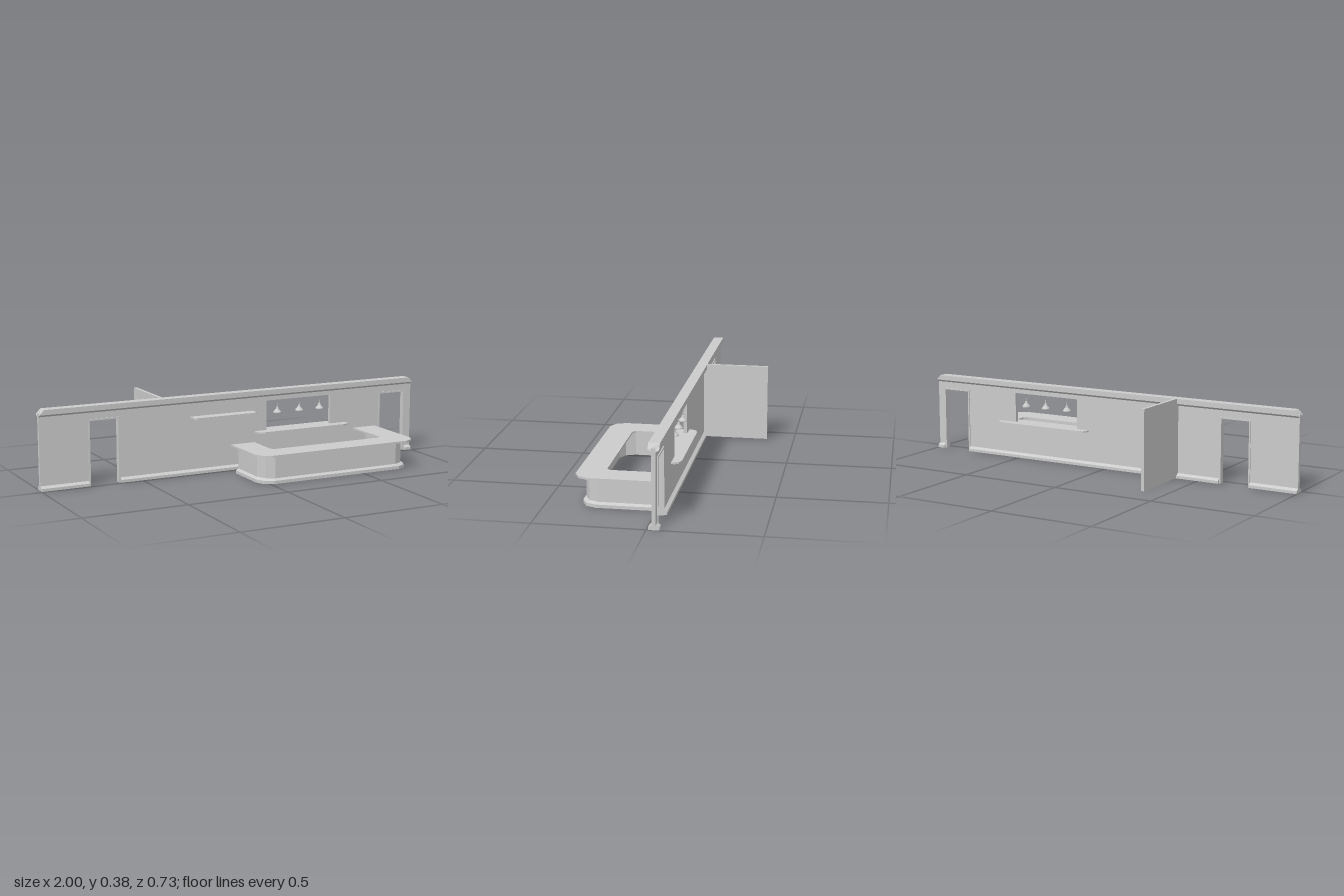
import * as THREE from 'three';

const material = new THREE.MeshStandardMaterial({ color: 0xcccccc, flatShading: true, side: THREE.DoubleSide });
const WALL_Z = -0.033;
const DOORS = [[-0.755, -0.615], [0.815, 0.955]];
const DOOR_TOP = 0.305;
const TRIM = 0.008;

const toShape = (pts) => new THREE.Shape(pts.map(([x, y]) => new THREE.Vector2(x, y)));
const extrude = (shape, depth) => new THREE.ExtrudeGeometry(shape, { depth, bevelEnabled: false });

function add(parent, name, geometry) {
  const mesh = new THREE.Mesh(geometry, material);
  mesh.name = name;
  parent.add(mesh);
  return mesh;
}

// Flat board from an outline in (x, z), lying between y0 and y1
function board(pts, y0, y1) {
  const g = extrude(toShape(pts.map(([x, z]) => [x, -z])), y1 - y0);
  return g.rotateX(-Math.PI / 2).translate(0, y0, 0);
}

// Moulding symmetric about the wall: half profile [halfDepth, y], run from x0 to x1
function moulding(half, x0, x1) {
  const pts = [...half, ...half.slice().reverse().map(([d, y]) => [-d, y])];
  return extrude(toShape(pts), x1 - x0).rotateY(Math.PI / 2).translate(x0, 0, WALL_Z);
}

// Sweep a closed counterclockwise profile [offset, y] along a path that can be offset outwards
function sweep(profile, path) {
  const rings = profile.map(([d, y]) => path(d).map(([x, z]) => [x, y, z]));
  const n = profile.length;
  const count = rings[0].length;
  const pos = [];
  const tri = (...corners) => corners.forEach((c) => pos.push(...c));
  for (let i = 0; i < count - 1; i++) {
    for (let j = 0; j < n; j++) {
      const a = rings[j], b = rings[(j + 1) % n];
      tri(a[i], b[i], b[i + 1]);
      tri(a[i], b[i + 1], a[i + 1]);
    }
  }
  const flat = profile.map(([d, y]) => new THREE.Vector2(d, y));
  for (const [a, b, c] of THREE.ShapeUtils.triangulateShape(flat, [])) {
    tri(rings[a][0], rings[c][0], rings[b][0]);
    tri(rings[a][count - 1], rings[b][count - 1], rings[c][count - 1]);
  }
  const g = new THREE.BufferGeometry();
  g.setAttribute('position', new THREE.Float32BufferAttribute(pos, 3));
  g.computeVertexNormals();
  return g;
}

function buildWall() {
  const wall = new THREE.Group();
  wall.name = 'wall';

  // Panel with two doorways cut from the floor and a serving window
  const outline = [[-1, 0]];
  for (const [a, b] of DOORS) {
    outline.push([a, 0], [a, DOOR_TOP], [b, DOOR_TOP], [b, 0]);
  }
  outline.push([1, 0], [1, 0.36], [-1, 0.36]);
  const panel = toShape(outline);
  panel.holes.push(toShape([[0.165, 0.172], [0.165, 0.323], [0.525, 0.323], [0.525, 0.172]]));
  add(wall, 'wallPanel', extrude(panel, 0.018).translate(0, 0, WALL_Z - 0.009));

  // Door frames
  for (const [a, b] of DOORS) {
    const frame = toShape([
      [a - TRIM, 0], [a, 0], [a, DOOR_TOP], [b, DOOR_TOP], [b, 0],
      [b + TRIM, 0], [b + TRIM, DOOR_TOP + TRIM], [a - TRIM, DOOR_TOP + TRIM],
    ]);
    add(wall, 'doorFrame', extrude(frame, 0.027).translate(0, 0, WALL_Z - 0.0135));
  }

  // Skirting between the doors
  const skirting = [[0.024, 0], [0.024, 0.013], [0.009, 0.023]];
  const stops = [-1, ...DOORS.flatMap(([a, b]) => [a - TRIM, b + TRIM]), 1];
  for (let i = 0; i < stops.length; i += 2) {
    add(wall, 'skirting', moulding(skirting, stops[i], stops[i + 1]));
  }

  // Cornice with its upper ends sloped inwards
  const cornice = moulding([[0.008, 0.343], [0.025, 0.354], [0.025, 0.378]], -1, 1);
  const p = cornice.attributes.position;
  for (let i = 0; i < p.count; i++) {
    if (p.getY(i) > 0.37) p.setX(i, p.getX(i) * 0.978);
  }
  cornice.computeVertexNormals();
  add(wall, 'cornice', cornice);

  // Partition standing behind the wall
  add(wall, 'partition', new THREE.BoxGeometry(0.016, 0.376, 0.327).translate(-0.382, 0.19, -0.2015));
  return wall;
}

function buildCounter() {
  const counter = new THREE.Group();
  counter.name = 'counter';

  // Outer U outline, from the wall round the front to the free end
  const uPath = (left, right, front, backR, backL) => (d) => {
    const l = left - d, r = right + d, f = front + d;
    return [
      [r, backR], [r, f - 0.068], [r - 0.02, f - 0.022], [r - 0.062, f],
      [l + 0.062, f], [l + 0.02, f - 0.022], [l, f - 0.068], [l, backL],
    ];
  };

  // Worktop
  const top = [
    ...uPath(-0.07, 0.787, 0.365, -0.022, 0.06)(0),
    [0.055, 0.06], [0.055, 0.225], [0.07, 0.24], [0.645, 0.24], [0.66, 0.225], [0.66, -0.022],
  ];
  add(counter, 'worktop', board(top, 0.134, 0.143));

  // Hollow front panel with a stepped plinth
  const profile = [
    [-0.016, 0], [0.013, 0], [0.013, 0.015], [0, 0.024], [0, 0.134], [-0.016, 0.134],
  ];
  add(counter, 'counterFront', sweep(profile, uPath(-0.033, 0.753, 0.325, -0.024, 0.065)));
  return counter;
}

function buildLamps() {
  const lamps = new THREE.Group();
  lamps.name = 'hangingLamps';
  const profile = [
    [0, 0.257], [0.02, 0.257], [0.02, 0.261], [0.008, 0.275], [0.005, 0.284],
    [0.002, 0.286], [0.002, 0.302], [0, 0.302],
  ].map(([r, y]) => new THREE.Vector2(r, y));
  for (const x of [0.23, 0.353, 0.468]) {
    add(lamps, 'lamp', new THREE.LatheGeometry(profile, 12)).position.set(x, 0, WALL_Z);
  }
  return lamps;
}

export function createModel() {
  const model = new THREE.Group();
  model.name = 'barFront';
  model.add(buildWall(), buildCounter(), buildLamps());

  // Shelf on the wall
  add(model, 'wallShelf', board([
    [-0.245, -0.024], [-0.245, 0.021], [-0.236, 0.03], [0.079, 0.03], [0.088, 0.021], [0.088, -0.024],
  ], 0.273, 0.28));

  // Serving sill through the window, with cut corners
  const quarter = [[0.257, 0.026], [0.247, 0.045], [0.222, 0.0545]];
  const back = quarter.slice().reverse();
  const sill = [
    ...quarter, ...back.map(([x, z]) => [-x, z]),
    ...quarter.map(([x, z]) => [-x, -z]), ...back.map(([x, z]) => [x, -z]),
  ].map(([x, z]) => [x + 0.358, z - 0.0315]);
  add(model, 'windowSill', board(sill, 0.169, 0.177));
  return model;
}
